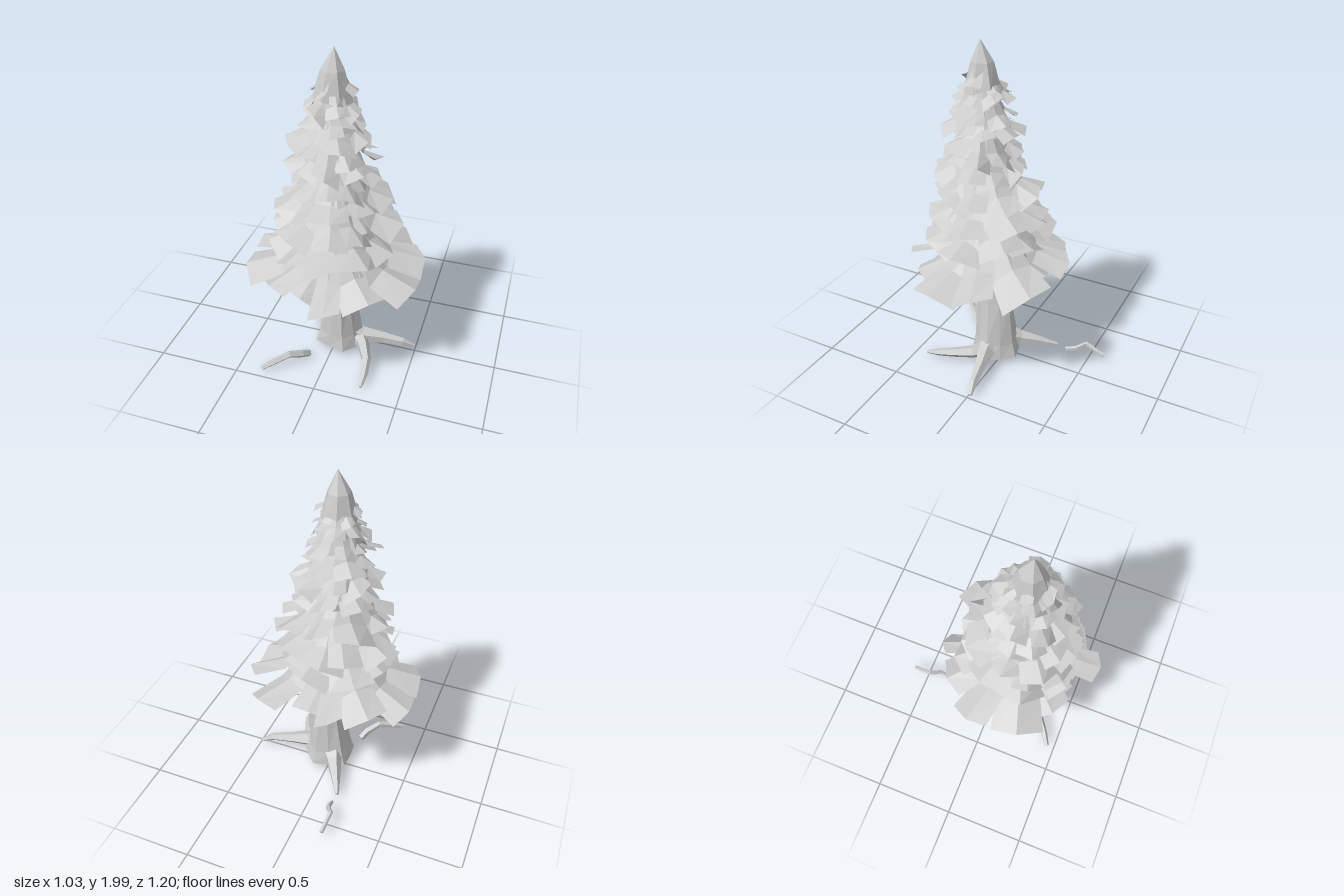
import * as THREE from 'three';

const material = new THREE.MeshStandardMaterial({ color: 0xcccccc, flatShading: true, side: THREE.DoubleSide });

// small seeded generator, returns -1..1
let seed = 11;
const jitter = () => {
  seed = (seed * 16807) % 2147483647;
  return (seed / 2147483647) * 2 - 1;
};

// surface through rows of points, flat shaded
function sheet(name, rows, closed = false) {
  const pos = [];
  const push = (...pts) => pts.forEach((p) => pos.push(p.x, p.y, p.z));
  const n = rows[0].length;
  for (let i = 0; i < rows.length - 1; i++) {
    for (let j = 0; j < (closed ? n : n - 1); j++) {
      const k = (j + 1) % n;
      const a = rows[i][j], b = rows[i][k], c = rows[i + 1][k], d = rows[i + 1][j];
      push(a, b, c, a, c, d);
    }
  }
  const geo = new THREE.BufferGeometry();
  geo.setAttribute('position', new THREE.Float32BufferAttribute(pos, 3));
  geo.computeVertexNormals();
  const mesh = new THREE.Mesh(geo, material);
  mesh.name = name;
  return mesh;
}

// upright trunk, open below: each entry is [x, y, z, radius in x, radius in z, fluting]
function trunk(path, sides) {
  return sheet('trunk', path.map(([x, y, z, rx, rz, flute]) => Array.from({ length: sides }, (_, j) => {
    const a = (j / sides) * Math.PI * 2;
    const f = 1 + (j % 2 ? -flute : flute);
    return new THREE.Vector3(x + Math.cos(a) * rx * f, y, z + Math.sin(a) * rz * f);
  })), true);
}

// tapering limb: each entry is [x, y, z, radius]
function limb(name, path, sides) {
  const pts = path.map((p) => new THREE.Vector3(p[0], p[1], p[2]));
  const rows = pts.map((p, i) => {
    const t = pts[Math.min(i + 1, pts.length - 1)].clone().sub(pts[Math.max(i - 1, 0)]).normalize();
    const u = new THREE.Vector3(0, 1, 0).cross(t).normalize();
    const v = t.clone().cross(u);
    return Array.from({ length: sides }, (_, j) => {
      const a = (j / sides) * Math.PI * 2;
      return p.clone()
        .addScaledVector(u, Math.cos(a) * path[i][3])
        .addScaledVector(v, Math.sin(a) * path[i][3]);
    });
  });
  const cap = (p) => Array(sides).fill(p);
  return sheet(name, [cap(pts[0]), ...rows, cap(pts[pts.length - 1])], true);
}

// point around the leaning axis of the crown
const axisZ = (y) => THREE.MathUtils.lerp(0.11, 0.135, Math.min(1, Math.max(0, (y - 0.7) / 0.6)));
const around = (angle, r, y, side = 0) => new THREE.Vector3(
  0.01 + Math.cos(angle) * r - Math.sin(angle) * side,
  y,
  axisZ(y) + Math.sin(angle) * r + Math.cos(angle) * side
);

// broad frond: falls steeply, then flares out to a ragged, twisted tip
function frond(angle, R, halfWidth, yTip, rise, ragged) {
  const roll = jitter() * 0.05;
  const profile = [[0.28, 1.05, 0.45], [0.6, 0.27, 0.82], [1, 0, 1]];
  const rows = profile.map(([r, h, w], i) => [-1, 0, 1].map((s) => {
    const cut = s ? 0.05 * r + (i === 2 ? ragged * (0.5 + 0.5 * jitter()) : 0) : 0;
    return around(
      angle,
      R * (r - cut),
      yTip + rise * h + (s ? -0.14 : 0.12) * halfWidth + roll * s * r,
      s * halfWidth * w
    );
  }));
  return sheet('frond', rows);
}

// sloping skirt beneath the fronds of a tier
function skirt(R, yTip, rise) {
  const sides = 9, turn = jitter() * 3;
  const ragged = Array.from({ length: sides }, () => [0.66 + 0.09 * jitter(), 0.025 * jitter()]);
  const rows = [[0.2, 1.1], [0.42, 0.6], [1, 0.12]].map(([r, h], i) => ragged.map(([q, dy], j) => around(
    turn + (j / sides) * Math.PI * 2, R * (i === 2 ? q : r), yTip + rise * h + (i === 2 ? dy : 0)
  )));
  return sheet('tierSkirt', rows, true);
}

export function createModel() {
  seed = 11;
  const tree = new THREE.Group();
  tree.name = 'coniferTree';

  // trunk
  tree.add(trunk([
    [0.03, 0.05, 0.04, 0.16, 0.145, 0.08], [0.03, 0.14, 0.045, 0.135, 0.13, 0.05], [0.035, 0.42, 0.055, 0.085, 0.11, 0.04],
    [0.03, 0.52, 0.07, 0.08, 0.105, 0.03], [0.02, 0.67, 0.1, 0.07, 0.085, 0.03], [0.02, 1.2, 0.13, 0.045, 0.045, 0], [0.02, 1.8, 0.14, 0.01, 0.01, 0],
  ].reverse(), 10));

  // roots
  const roots = new THREE.Group();
  roots.name = 'roots';
  [
    [[0.06, 0.14, 0.04, 0.08], [0.17, 0.1, 0.05, 0.055], [0.3, 0.085, 0.02, 0.035], [0.42, 0.065, 0, 0.025], [0.49, 0.03, -0.02, 0.01]],
    [[0.13, 0.1, 0.05, 0.05], [0.2, 0.09, 0.13, 0.04], [0.25, 0.08, 0.24, 0.03], [0.265, 0.055, 0.34, 0.022], [0.265, 0.03, 0.42, 0.01]],
    [[0, 0.13, 0.01, 0.08], [-0.05, 0.1, -0.08, 0.05], [-0.1, 0.08, -0.18, 0.032], [-0.155, 0.05, -0.29, 0.012]],
  ].forEach((path) => roots.add(limb('root', path, 5)));

  // root ends that surface away from the trunk
  [
    [[-0.12, 0.03, 0.24, 0.022], [-0.15, 0.06, 0.29, 0.024], [-0.21, 0.09, 0.35, 0.022], [-0.29, 0.06, 0.41, 0.02], [-0.35, 0.03, 0.45, 0.015]],
    [[-0.145, 0.045, -0.355, 0.012], [-0.148, 0.07, -0.42, 0.015], [-0.185, 0.1, -0.475, 0.015], [-0.175, 0.055, -0.597, 0.013]],
  ].forEach((path) => roots.add(limb('surfacedRoot', path, 5)));
  tree.add(roots);

  // lowest tier: [angle in degrees, length, half width, tip height]
  const base = new THREE.Group();
  base.name = 'lowestTier';
  [
    [-53, 0.54, 0.15, 0.69], [-17, 0.53, 0.12, 0.69], [12, 0.52, 0.16, 0.65], [47, 0.43, 0.14, 0.65],
    [80, 0.5, 0.09, 0.66], [103, 0.38, 0.09, 0.65], [133, 0.43, 0.13, 0.65], [162, 0.52, 0.16, 0.65],
    [197, 0.54, 0.12, 0.65], [227, 0.49, 0.13, 0.69], [255, 0.49, 0.08, 0.69], [274, 0.39, 0.12, 0.66],
  ].forEach(([deg, R, w, y]) => base.add(frond(THREE.MathUtils.degToRad(deg), R, w, y, 0.23, 0.04)));
  base.add(skirt(0.42, 0.64, 0.3));
  tree.add(base);

  // upper tiers: [tip height, radius, frond count, rise]
  [
    [0.85, 0.39, 9, 0.19], [0.99, 0.365, 9, 0.19], [1.13, 0.335, 9, 0.19], [1.255, 0.275, 8, 0.18],
    [1.37, 0.265, 8, 0.17], [1.49, 0.24, 8, 0.16], [1.59, 0.2, 7, 0.15], [1.67, 0.175, 7, 0.14], [1.755, 0.145, 6, 0.12],
  ].forEach(([y, R, count, rise], t) => {
    const tier = new THREE.Group();
    tier.name = 'tier';
    for (let i = 0; i < count; i++) {
      const angle = ((i + 0.25 * jitter()) / count) * Math.PI * 2 + t * 1.3;
      const length = R * (0.96 + 0.12 * jitter());
      tier.add(frond(angle, length, R * (0.31 + 0.08 * jitter()), y + 0.025 * jitter(), rise, 0.16));
    }
    tier.add(skirt(R, y - 0.03, rise * 1.25));
    tree.add(tier);
  });

  // pointed top
  const ring = (r, y) => Array.from({ length: 7 }, (_, j) => around((j / 7) * Math.PI * 2, r, y + (r > 0.08 ? 0.03 * jitter() : 0)));
  tree.add(sheet('treetop', [Array(7).fill(new THREE.Vector3(0.02, 2, 0.14)), ring(0.065, 1.88), ring(0.108, 1.73)], true));
  return tree;
}
